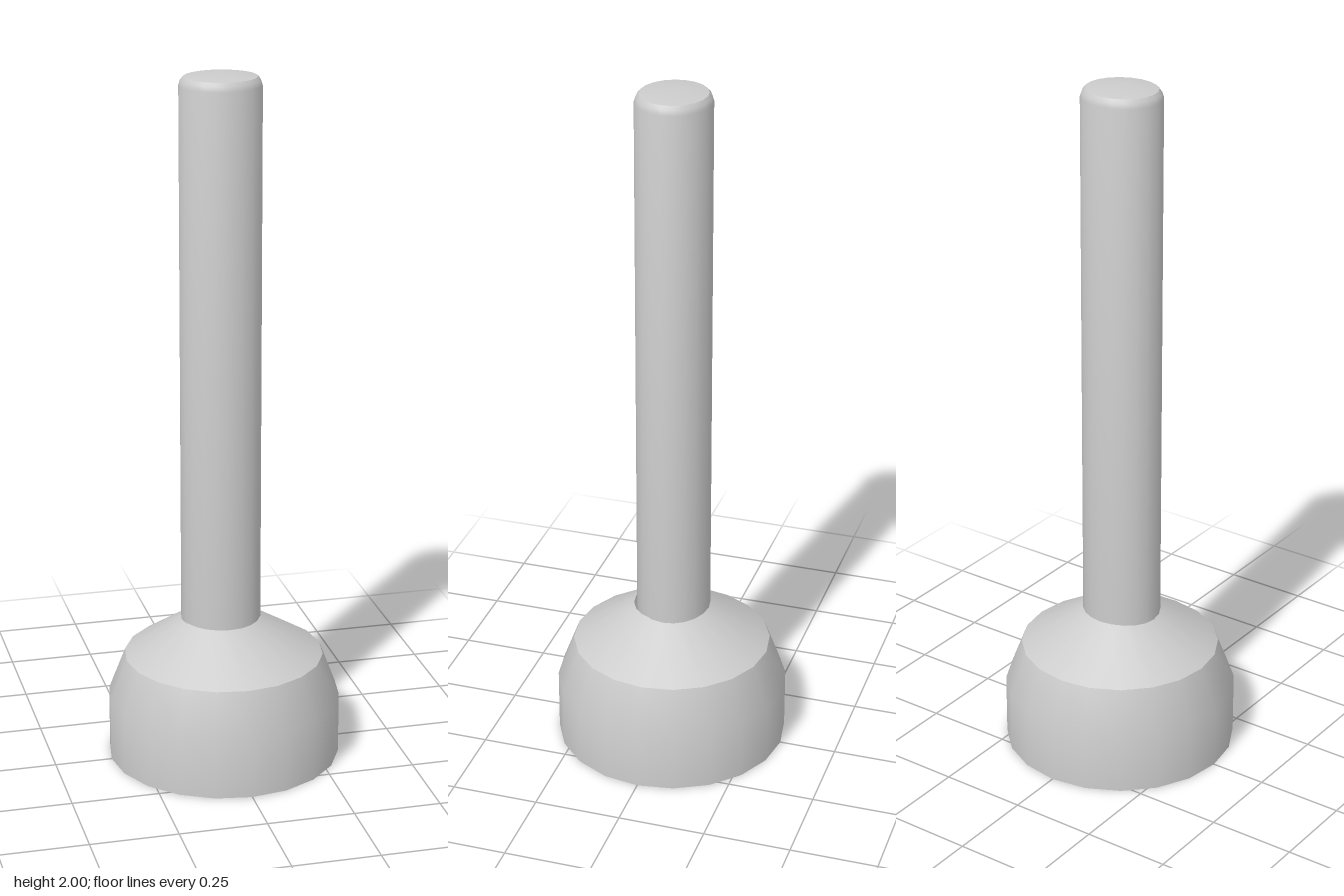
import * as THREE from 'three';
import { toCreasedNormals } from 'three/addons/utils/BufferGeometryUtils.js';

const SIDES = 20;

// Turn a profile of [radius, height] points; points above shiftFrom move sideways
function turned(name, points, shiftFrom, [dx, dz]) {
  const profile = points.map(([r, y]) => new THREE.Vector2(r, y));
  const lathe = new THREE.LatheGeometry(profile, SIDES);
  const p = lathe.attributes.position;
  for (let i = 0; i < p.count; i++) {
    if (p.getY(i) > shiftFrom) p.setXYZ(i, p.getX(i) + dx, p.getY(i), p.getZ(i) + dz);
  }
  const material = new THREE.MeshStandardMaterial({ color: 0xcccccc, side: THREE.DoubleSide });
  const mesh = new THREE.Mesh(toCreasedNormals(lathe, 0.52), material);
  mesh.name = name;
  return mesh;
}

export function createModel() {
  const group = new THREE.Group();
  group.name = 'plunger';

  // Cup: shallow cavity, flat rim, then the stepped outside up to an off-centre collar
  const cup = turned('cup', [
    [0, 0.2], [0.13, 0.125], [0.267, 0],
    [0.335, 0], [0.335, 0.18], [0.287, 0.305], [0.111, 0.418],
  ], 0.4, [-0.008, 0.002]);

  // Slightly oval handle with a bevelled, shallow domed end
  const handle = turned('handle', [
    [0.115, 0.41], [0.115, 1.962], [0.1105, 1.976], [0.102, 1.986], [0, 2],
  ], 0, [-0.008, -0.003]);
  handle.scale.z = 0.92;

  group.add(cup, handle);
  return group;
}
